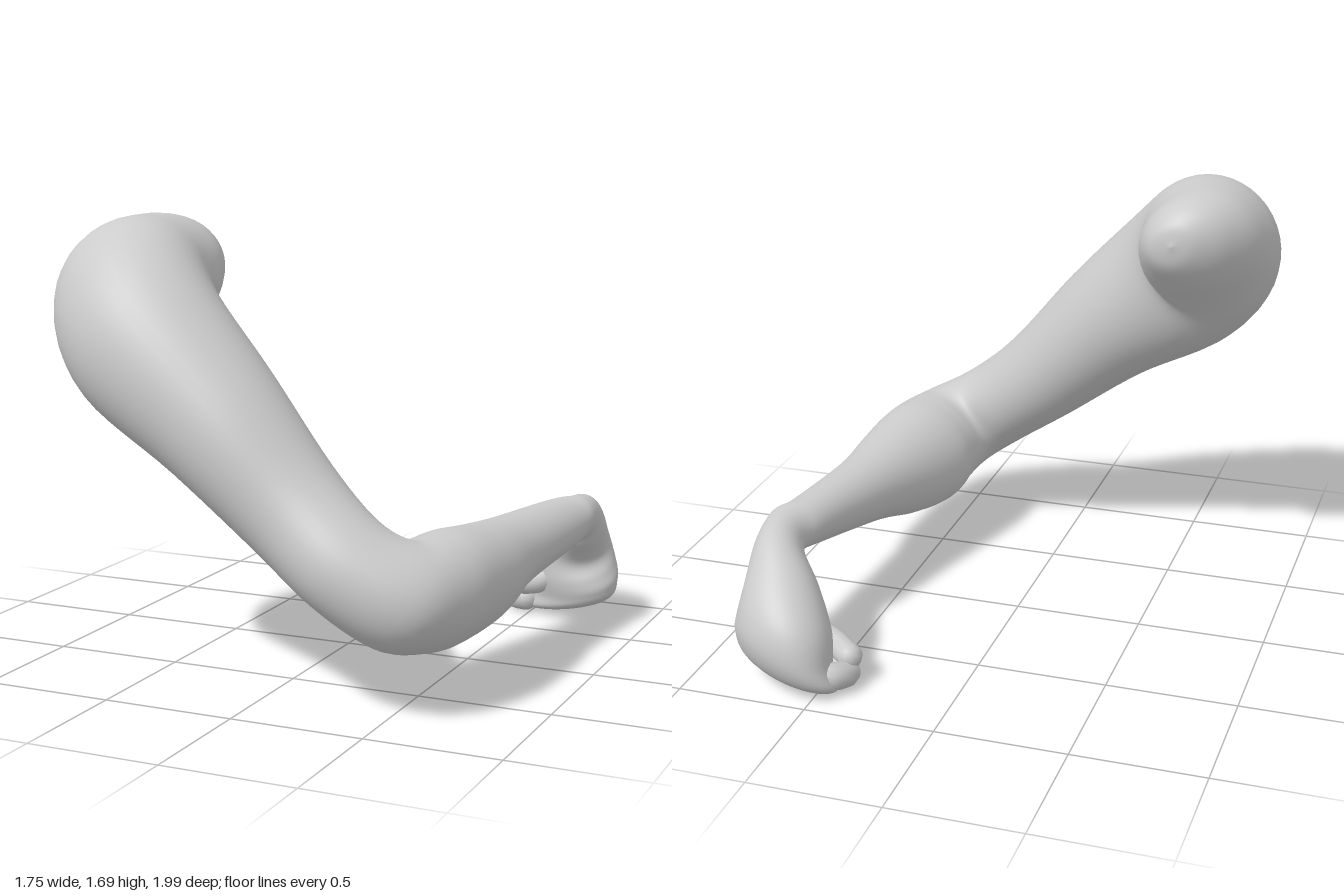
import * as THREE from 'three';

const V = (x, y, z) => new THREE.Vector3(x, y, z);
const material = new THREE.MeshStandardMaterial({ color: 0xcccccc, side: THREE.DoubleSide });

// Both bends of the arm share one plane, spanned by the upper arm's axis and z
const ALONG = V(0.78, -0.62, 0);
const ACROSS = V(0.62, 0.78, 0);

// Ring in that plane: position along, across and z, turn in degrees, two radii
function armRing([d, v, z, turn, a, b]) {
  const t = THREE.MathUtils.degToRad(turn);
  return {
    c: ALONG.clone().multiplyScalar(d).addScaledVector(ACROSS, v).setZ(z),
    u: ALONG.clone().multiplyScalar(a * Math.cos(t)).setZ(-a * Math.sin(t)),
    v: ACROSS.clone().multiplyScalar(b),
  };
}

// Smooth skin through elliptical rings, closed where the rings shrink to a point
function loft(rings, steps, sides) {
  const curve = (key) => new THREE.CatmullRomCurve3(rings.map((r) => r[key]), false, 'catmullrom', 0.5);
  const [cc, cu, cv] = ['c', 'u', 'v'].map(curve);
  const pos = [], index = [];
  for (let i = 0; i <= steps; i++) {
    const c = cc.getPoint(i / steps), u = cu.getPoint(i / steps), v = cv.getPoint(i / steps);
    for (let j = 0; j < sides; j++) {
      const t = (j / sides) * Math.PI * 2;
      const p = c.clone().addScaledVector(u, Math.cos(t)).addScaledVector(v, Math.sin(t));
      pos.push(p.x, p.y, p.z);
      if (i === steps) continue;
      const a = i * sides + j, b = i * sides + ((j + 1) % sides);
      index.push(a, b, a + sides, b, b + sides, a + sides);
    }
  }
  const g = new THREE.BufferGeometry();
  g.setAttribute('position', new THREE.Float32BufferAttribute(pos, 3));
  g.setIndex(index);
  g.computeVertexNormals();
  return g;
}

// Round-ended finger along a path
function finger(name, points, radius) {
  const group = new THREE.Group();
  group.name = name;
  const path = new THREE.CatmullRomCurve3(points);
  group.add(new THREE.Mesh(new THREE.TubeGeometry(path, 16, radius, 12), material));
  for (const p of [points[0], points[points.length - 1]]) {
    const end = new THREE.Mesh(new THREE.SphereGeometry(radius, 12, 8), material);
    end.position.copy(p);
    group.add(end);
  }
  group.children.forEach((m) => { m.name = name; });
  return group;
}

export function createModel() {
  const model = new THREE.Group();
  model.name = 'bentArm';

  // Shoulder stump, upper arm, elbow, forearm
  const arm = [
    [-1.39, 0.85, 0.122, 0, 0.001, 0.001],
    [-1.39, 0.845, 0.145, 0, 0.1, 0.085],
    [-1.4, 0.815, 0.23, 0, 0.185, 0.165],
    [-1.4, 0.765, 0.37, 12, 0.245, 0.228],
    [-1.36, 0.712, 0.55, 38, 0.285, 0.3],
    [-1.14, 0.675, 0.675, 65, 0.295, 0.307],
    [-0.75, 0.675, 0.725, 90, 0.262, 0.25],
    [-0.35, 0.642, 0.758, 90, 0.212, 0.2],
    [-0.07, 0.642, 0.795, 102, 0.202, 0.185],
    [0.12, 0.665, 0.755, 135, 0.205, 0.197],
    [0.185, 0.68, 0.61, 162, 0.202, 0.214],
    [0.203, 0.683, 0.45, 180, 0.2, 0.224],
    [0.226, 0.705, 0.25, 180, 0.182, 0.193],
    [0.236, 0.746, 0, 180, 0.142, 0.142],
    [0.276, 0.816, -0.4, 180, 0.107, 0.1],
    [0.295, 0.84, -0.52, 180, 0.085, 0.095],
  ].map(armRing);

  // Wrist, back of the hand and knuckles, continuing the same skin
  const hand = [
    [V(0.745, 0.44, -0.62), V(-0.09, 0.03, 0), V(0.02, 0.09, -0.06)],
    [V(0.695, 0.35, -0.725), V(-0.135, 0.03, 0.01), V(0.01, 0.09, -0.1)],
    [V(0.66, 0.24, -0.79), V(-0.192, 0, -0.03), V(-0.01, 0.07, -0.165)],
    [V(0.655, 0.14, -0.815), V(-0.21, -0.03, -0.05), V(-0.02, 0.04, -0.175)],
    [V(0.625, 0.055, -0.81), V(-0.2, -0.035, -0.04), V(-0.02, 0.01, -0.135)],
    [V(0.6, 0.01, -0.82), V(0, 0, 0), V(0, 0, 0)],
  ].map(([c, u, v]) => ({ c, u, v }));

  const skin = new THREE.Mesh(loft([...arm, ...hand], 126, 40), material);
  skin.name = 'armAndHand';
  model.add(skin);

  // Forefinger hooked round the palm side, and the thumb beside it
  model.add(finger('forefinger', [
    V(0.52, 0.09, -0.88), V(0.44, 0.075, -0.86), V(0.42, 0.055, -0.78), V(0.48, 0.06, -0.74),
  ], 0.052));
  model.add(finger('thumb', [
    V(0.62, 0.19, -0.7), V(0.55, 0.15, -0.695), V(0.48, 0.13, -0.72), V(0.415, 0.115, -0.765),
  ], 0.05));

  return model;
}
